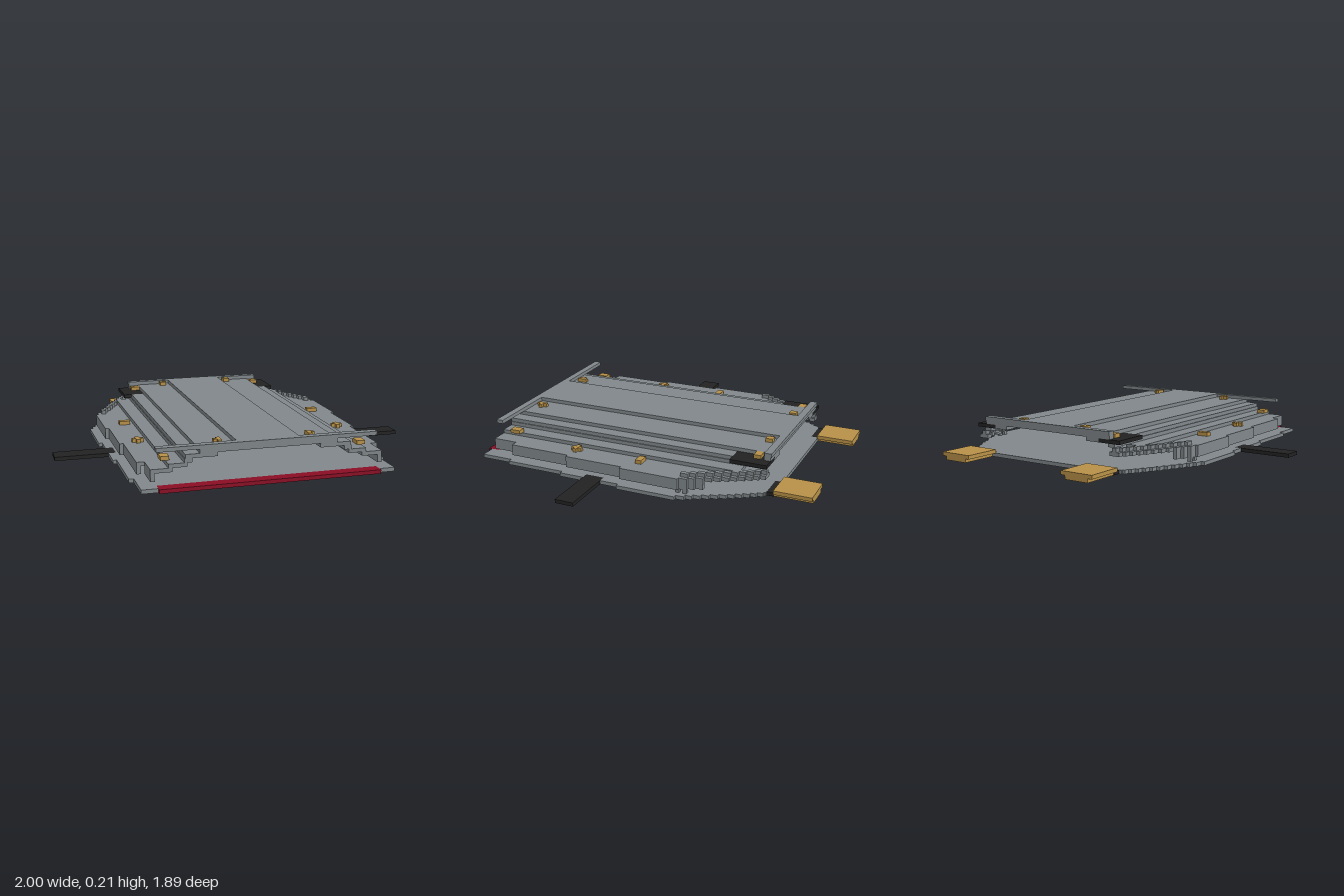
import * as THREE from 'three';

const U = 0.0208; // height of one layer

export function createModel() {
  const model = new THREE.Group();
  model.name = 'steppedShellModel';
  const mat = (name, color) => {
    const m = new THREE.MeshStandardMaterial({ color });
    m.name = name;
    return m;
  };
  const grey = mat('shell grey', 0x80878a);
  const gold = mat('gold', 0xb89148);
  const black = mat('black', 0x222222);
  const red = mat('dark red', 0x8a0d24);

  // Box given by its limits; heights are counted in layers
  function block(name, material, x0, x1, l0, l1, z0, z1) {
    const mesh = new THREE.Mesh(new THREE.BoxGeometry(x1 - x0, (l1 - l0) * U, z1 - z0), material);
    mesh.position.set((x0 + x1) / 2, (l0 + l1) * U / 2, (z0 + z1) / 2);
    mesh.name = name;
    model.add(mesh);
  }
  // The same box on both sides
  function pair(name, material, x0, x1, ...rest) {
    block(name + 'Left', material, x0, x1, ...rest);
    block(name + 'Right', material, -x1, -x0, ...rest);
  }

  // Stepped back edge: [half width, back end of the step]
  const steps = [
    [0.73, -0.285], [0.71, -0.33], [0.69, -0.365], [0.67, -0.405], [0.65, -0.445],
    [0.63, -0.485], [0.61, -0.525], [0.59, -0.56], [0.57, -0.595], [0.55, -0.63],
    [0.53, -0.66], [0.51, -0.69], [0.495, -0.70]
  ];

  // Base plate, with notches for the side fins, front strip and rear pads
  const half = [
    [0.58, 0.88], [0.58, 0.925], [0.665, 0.925], [0.665, 0.74], [0.69, 0.74], [0.69, 0.4],
    [0.71, 0.4], [0.71, 0.26], [0.67, 0.26], [0.67, 0.155], [0.71, 0.155], [0.71, 0.05], [0.73, 0.05]
  ];
  steps.forEach(([x, z], i) => {
    half.push([x, z]);
    half.push([i + 1 < steps.length ? steps[i + 1][0] : 0.335, z]);
  });
  half.push([0.335, -0.74]);
  const mirrored = half.map(([x, z]) => [-x, z]).reverse();
  const outline = [...half, ...mirrored].map(([x, z]) => new THREE.Vector2(x, -z));
  const baseGeometry = new THREE.ExtrudeGeometry(new THREE.Shape(outline), { depth: U, bevelEnabled: false });
  baseGeometry.rotateX(-Math.PI / 2);
  const base = new THREE.Mesh(baseGeometry, grey);
  base.name = 'basePlate';
  model.add(base);

  // Front strip, side fins and rear pads
  block('frontStrip', red, -0.58, 0.58, 0, 1, 0.88, 0.945);
  pair('sideFin', black, 0.67, 1, 0, 1, 0.155, 0.26);
  pair('rearHinge', black, 0.335, 0.48, 0, 1, -0.74, -0.70);
  pair('rearPad', gold, 0.31, 0.5, 1, 2, -0.95, -0.74);
  pair('rearPadFoot', gold, 0.335, 0.475, 0, 1, -0.95, -0.74);

  // Roof: centre panel flush with the front and back bars
  block('roofPanel', grey, -0.165, 0.165, 9, 10, -0.70, 0.88);
  pair('frontBar', grey, 0.165, 0.58, 9, 10, 0.84, 0.88);
  pair('backBar', grey, 0.165, 0.42, 9, 10, -0.70, -0.66);

  // Terraces stepping down to the sides
  block('upperTerrace', grey, -0.362, 0.362, 8, 9, -0.695, 0.88);
  pair('backBarSupport', grey, 0.362, 0.42, 8, 9, -0.695, -0.66);
  pair('secondTerrace', grey, 0.27, 0.435, 7, 8, -0.49, 0.88);
  pair('secondTerraceBack', grey, 0.27, 0.35, 7, 8, -0.695, -0.49);
  pair('terraceRiser', grey, 0.40, 0.44, 6, 7, -0.68, 0.88);
  pair('thirdTerrace', grey, 0.425, 0.52, 5, 6, -0.56, 0.88);
  pair('rearPlate', black, 0.35, 0.48, 7, 8, -0.695, -0.49);

  // Lower terrace and its outer wall, widening in segments towards the back
  const segments = [[0.61, 0.74, 0.88], [0.65, 0.385, 0.74], [0.67, 0.05, 0.385], [0.69, -0.285, 0.05]];
  for (const [x, z0, z1] of segments) {
    pair('lowerTerrace', grey, 0.5, x, 4, 5, z0, z1);
    pair('outerWall', grey, x - 0.022, x, 2, 4, z0, z1);
  }

  // Stepped rim following the narrowing back
  for (let i = 1; i < steps.length - 1; i++) {
    const x = steps[i][0] - 0.035, z0 = steps[i][1], z1 = steps[i - 1][1];
    pair('backRim', grey, Math.min(0.5, x - 0.06), x, 4, 5, z0, z1);
    pair('backRimRidge', grey, x - 0.045, x - 0.02, 5, 6, z0, z1);
    if (z0 > -0.41) pair('backWall', grey, x - 0.022, x, 2, 4, z0, z1);
  }
  // Small props under the wall
  for (const z of [-0.28, -0.32]) pair('wallProp', grey, 0.655, 0.675, 1, 2, z - 0.01, z + 0.01);

  // Gold studs
  pair('middleStud', gold, 0.54, 0.6, 5, 6, -0.035, 0);
  pair('crossStud', gold, 0.54, 0.6, 5, 6, 0.36, 0.38);
  pair('crossStudArm', gold, 0.56, 0.58, 5, 5.98, 0.34, 0.40);
  pair('frontSideStud', gold, 0.5, 0.545, 6, 7, 0.755, 0.815);
  pair('frontRoofStud', gold, 0.23, 0.25, 9, 10, 0.755, 0.815);
  pair('frontRoofStudArm', gold, 0.25, 0.27, 9, 10, 0.775, 0.795);
  pair('backRoofStud', gold, 0.19, 0.228, 9, 10, -0.64, -0.60);
  pair('backSideStud', gold, 0.362, 0.415, 8, 9, -0.64, -0.60);

  return model;
}
